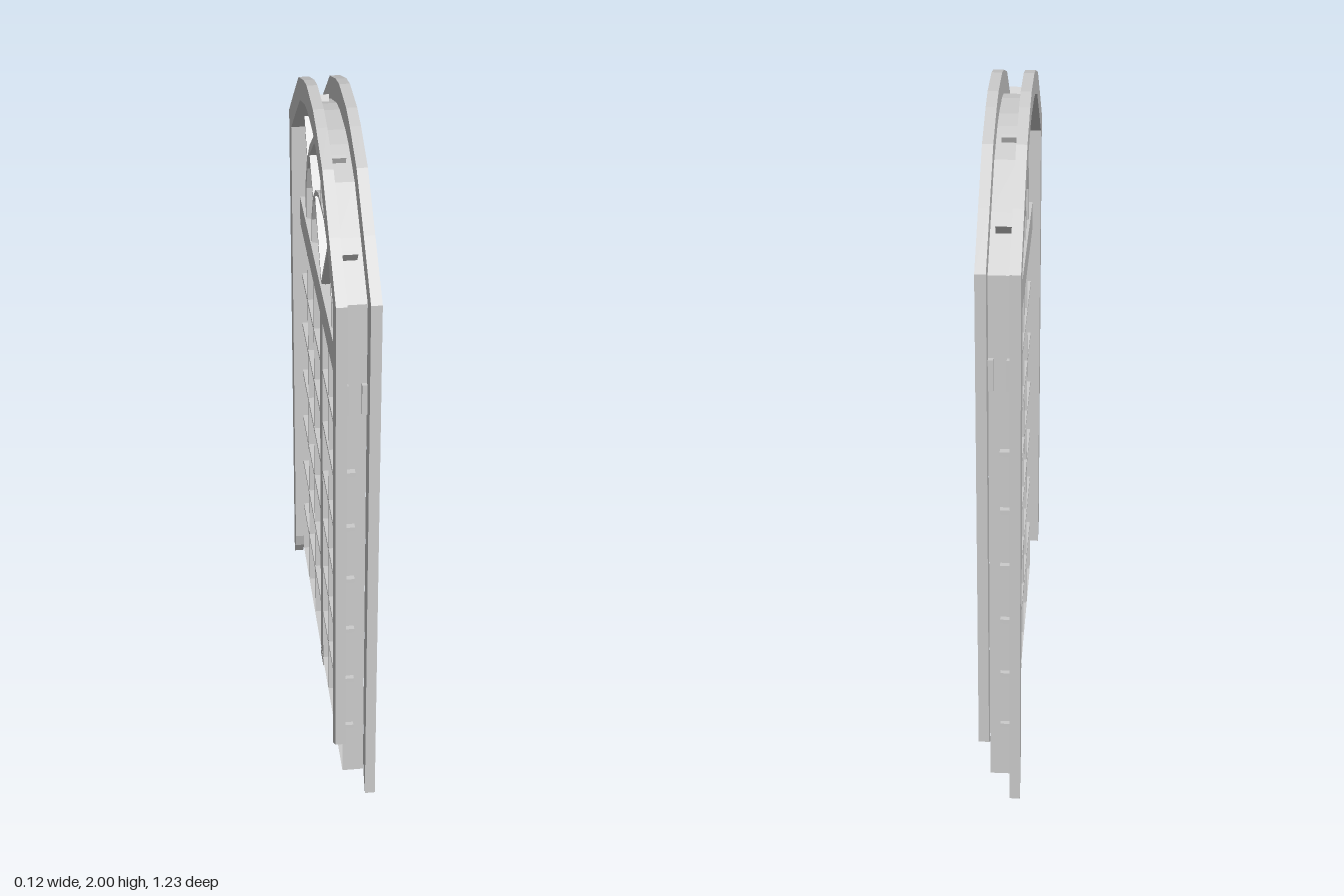
import * as THREE from 'three';

const grey = new THREE.MeshStandardMaterial({ color: 0xcccccc, flatShading: true });
const sheetGrey = new THREE.MeshStandardMaterial({ color: 0xcccccc, flatShading: true, side: THREE.DoubleSide });

// Half profiles as [z, y], from the side up to just before the crown, plus the crown
const outerArch = [[0.613, 1.69], [0.46, 1.81], [0.305, 1.928], [0.16, 1.98], [0.08, 1.998]];
const innerArch = [[0.55, 1.66], [0.4, 1.775], [0.27, 1.872], [0.135, 1.918], [0.065, 1.929]];
const bigRing = [[0.427, 1.42], [0.427, 1.53], [0.387, 1.62], [0.307, 1.71], [0.185, 1.798], [0.075, 1.827]];
const bigRingInner = [[0.403, 1.42], [0.403, 1.525], [0.366, 1.608], [0.291, 1.694], [0.176, 1.779], [0.07, 1.808]];
const smallRing = [[0.258, 1.42], [0.258, 1.505], [0.213, 1.59], [0.15, 1.643], [0.07, 1.673]];
const smallRingInner = [[0.245, 1.42], [0.245, 1.5], [0.202, 1.58], [0.143, 1.631], [0.067, 1.66]];

const mirrored = half => [...half, ...half.map(([z, y]) => [-z, y]).reverse()];

// Extrudes a z-y outline between two x positions
function slab(points, x0, x1) {
  const shape = new THREE.Shape(points.map(([z, y]) => new THREE.Vector2(z, y)));
  const geo = new THREE.ExtrudeGeometry(shape, { depth: x1 - x0, bevelEnabled: false });
  return geo.rotateY(-Math.PI / 2).translate(x1, 0, 0);
}

// Open strip following a closed z-y loop between two x positions
function ribbon(points, x0, x1) {
  const pos = [];
  points.forEach(([z, y], i) => {
    const [z2, y2] = points[(i + 1) % points.length];
    pos.push(x0, y, z, x1, y, z, x1, y2, z2, x0, y, z, x1, y2, z2, x0, y2, z2);
  });
  const geo = new THREE.BufferGeometry();
  geo.setAttribute('position', new THREE.Float32BufferAttribute(pos, 3));
  geo.computeVertexNormals();
  return geo;
}

export function createModel() {
  const model = new THREE.Group();
  model.name = 'archedWindow';

  const add = (name, geo, material = grey) => {
    const mesh = new THREE.Mesh(geo, material);
    mesh.name = name;
    model.add(mesh);
    return mesh;
  };
  const box = (name, x0, x1, y0, y1, z0, z1) =>
    add(name, new THREE.BoxGeometry(x1 - x0, y1 - y0, z1 - z0)
      .translate((x0 + x1) / 2, (y0 + y1) / 2, (z0 + z1) / 2));
  // Straight bar between two z-y points
  const spoke = (z0, y0, z1, y1) => {
    const mesh = add('fanSpoke', new THREE.BoxGeometry(0.045, Math.hypot(z1 - z0, y1 - y0), 0.012));
    mesh.position.set(-0.0075, (y0 + y1) / 2, (z0 + z1) / 2);
    mesh.rotation.x = Math.atan2(z1 - z0, y1 - y0);
  };

  // Two casings, each with one jamb cut short on opposite sides
  const casing = slab([
    [0.613, 0], ...mirrored(outerArch), [-0.613, 0.205], [-0.56, 0.165],
    ...mirrored(innerArch).reverse(), [0.562, 0.1], [0.577, 0.05],
  ], 0.03, 0.06);
  add('rightCasing', casing);
  add('leftCasing', casing).rotation.y = Math.PI;

  // Thin lining of the opening, with the sill
  add('lining', ribbon([[0.56, 0.05], ...mirrored(innerArch), [-0.56, 0.05]], -0.032, 0.03), sheetGrey);

  // Crossbeam with planks reaching past the lining
  box('crossbeam', -0.03, 0.028, 1.33, 1.42, -0.55, 0.55);
  box('crossbeamPlank', -0.035, -0.02, 1.33, 1.422, -0.565, 0.565);
  box('crossbeamPlank', 0.016, 0.031, 1.33, 1.422, -0.565, 0.565);

  // Middle stile and glazing bars
  box('middleStile', -0.031, 0.031, 0.015, 1.33, -0.033, 0.033);
  for (const z of [0.355, 0.18, -0.21, -0.387]) box('verticalBar', -0.03, 0, 0.04, 1.33, z - 0.006, z + 0.006);
  for (const y of [0.235, 0.415, 0.6, 0.78, 0.96, 1.143]) box('horizontalBar', -0.031, -0.001, y - 0.006, y + 0.006, -0.572, 0.572);

  // Fan light rings
  add('outerRing', slab([...mirrored(bigRing), ...mirrored(bigRingInner).reverse()], -0.03, 0.015));
  add('innerRing', slab([...mirrored(smallRing), ...mirrored(smallRingInner).reverse()], -0.03, 0.015));

  // Fan light spokes
  spoke(0, 1.665, 0, 1.815);
  for (const s of [-1, 1]) {
    spoke(0, 1.42, s * 0.165, 1.625);
    spoke(s * 0.215, 1.59, s * 0.32, 1.69);
    spoke(s * 0.155, 1.80, s * 0.204, 1.915);
    spoke(s * 0.37, 1.64, s * 0.468, 1.768);
  }
  return model;
}
